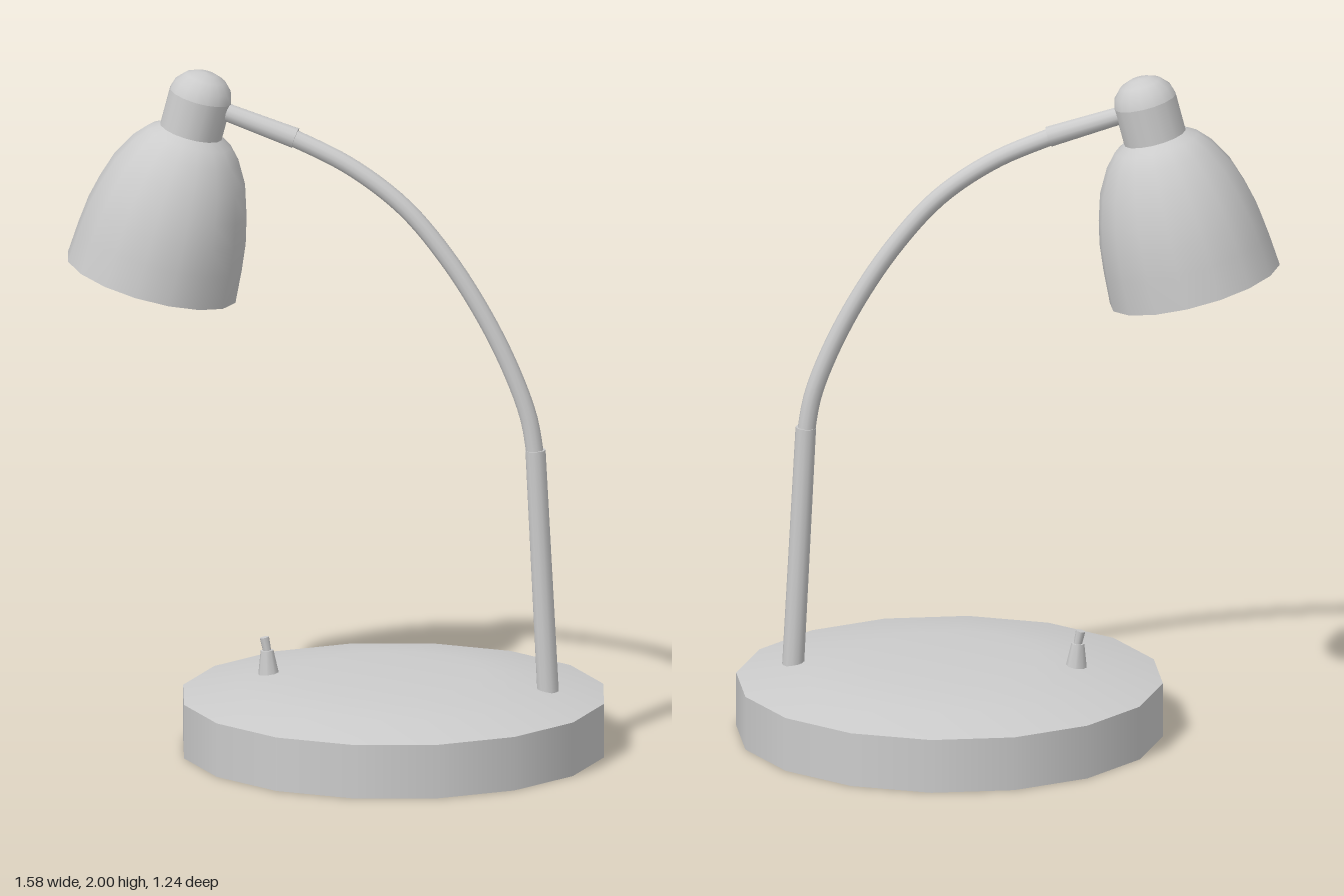
import * as THREE from 'three';

const grey = new THREE.MeshStandardMaterial({ color: 0xcccccc });
const SIDES = 16;

function add(parent, name, geometry) {
  const mesh = new THREE.Mesh(geometry, grey);
  mesh.name = name;
  parent.add(mesh);
  return mesh;
}

// Turned part made of several smooth profiles, with a sharp edge between them
function turned(name, ...profiles) {
  const group = new THREE.Group();
  group.name = name;
  profiles.forEach((profile, i) => {
    const points = profile.map(([r, y]) => new THREE.Vector2(r, y));
    add(group, `${name}Surface${i + 1}`, new THREE.LatheGeometry(points, SIDES));
  });
  return group;
}

// Straight rod between two points in the z = 0 plane
function rod(parent, name, [x0, y0], [x1, y1], r0, r1, sides = 12) {
  const dx = x1 - x0, dy = y1 - y0;
  const mesh = add(parent, name, new THREE.CylinderGeometry(r1, r0, Math.hypot(dx, dy), sides));
  mesh.position.set((x0 + x1) / 2, (y0 + y1) / 2, 0);
  mesh.rotation.z = -Math.atan2(dx, dy);
  return mesh;
}

export function createModel() {
  const lamp = new THREE.Group();
  lamp.name = 'deskLamp';

  // Heavy round base with a shallow domed top
  const base = turned('base',
    [[0, 0], [0.622, 0]],
    [[0.622, 0], [0.622, 0.16]],
    [[0.622, 0.16], [0.46, 0.195], [0.27, 0.22], [0, 0.22]]);
  base.position.x = 0.17;
  lamp.add(base);

  // Toggle switch, leaning with the slope of the base
  const toggle = new THREE.Group();
  toggle.name = 'toggleSwitch';
  rod(toggle, 'switchCollar', [-0.198, 0.185], [-0.204, 0.275], 0.034, 0.019, 8);
  rod(toggle, 'switchLever', [-0.203, 0.27], [-0.212, 0.313], 0.012, 0.014, 8);
  lamp.add(toggle);

  // Arm: straight post, bent tube and the sleeve that enters the lamp head
  rod(lamp, 'post', [0.626, 0.19], [0.589, 0.91], 0.032, 0.03);
  const bend = new THREE.CatmullRomCurve3([
    [0.592, 0.86], [0.585, 0.92], [0.568, 1.01], [0.52, 1.14], [0.44, 1.3],
    [0.33, 1.47], [0.2, 1.62], [0.04, 1.735], [-0.13, 1.813], [-0.17, 1.829],
  ].map(([x, y]) => new THREE.Vector3(x, y, 0)));
  add(lamp, 'bentArm', new THREE.TubeGeometry(bend, 36, 0.026, 12));
  rod(lamp, 'armSleeve', [-0.12, 1.811], [-0.36, 1.892], 0.031, 0.026);

  // Lamp head, tilted; its origin is the centre of the shade opening
  const head = new THREE.Group();
  head.name = 'lampHead';
  head.position.set(-0.545, 1.375, 0);
  head.rotation.z = -0.257;
  lamp.add(head);

  head.add(turned('shade',
    // inner wall
    [[0, 0.43], [0.1, 0.42], [0.145, 0.385], [0.18, 0.32], [0.205, 0.24], [0.22, 0.17], [0.23, 0.09], [0.236, 0]],
    // rim
    [[0.236, 0], [0.256, 0]],
    // outer wall
    [[0.256, 0], [0.249, 0.1], [0.24, 0.18], [0.224, 0.25], [0.199, 0.33], [0.16, 0.4], [0.125, 0.44], [0.085, 0.463]]));

  // Socket cap above the shade
  head.add(turned('socketCap',
    [[0, 0.445], [0.093, 0.445]],
    [[0.093, 0.445], [0.093, 0.57]],
    [[0.093, 0.57], [0.084, 0.6], [0.06, 0.626], [0.03, 0.639], [0, 0.642]]));

  return lamp;
}
